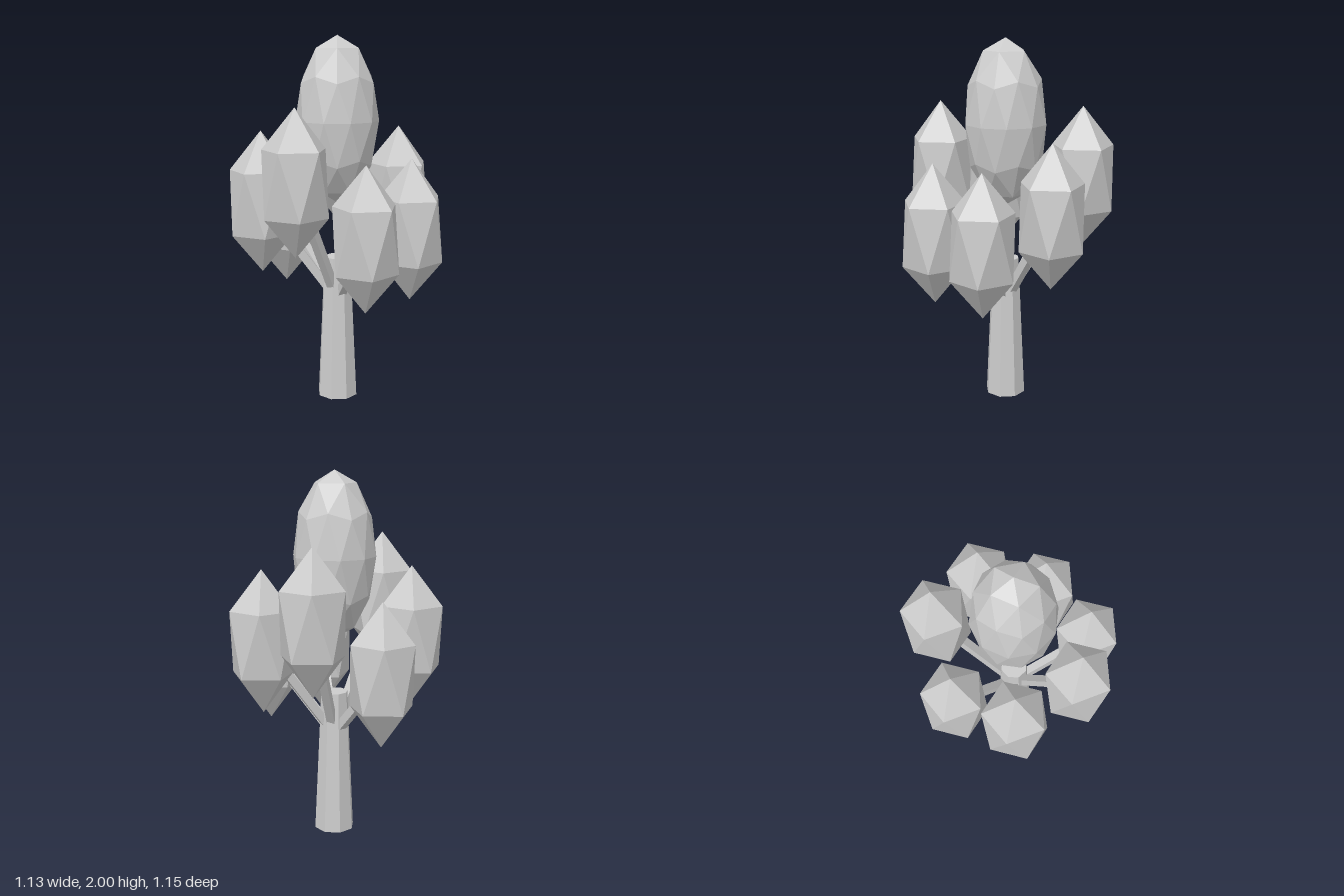
import * as THREE from 'three';

export function createModel() {
  const tree = new THREE.Group();
  tree.name = 'tree';
  const grey = new THREE.MeshStandardMaterial({ color: 0xcccccc, flatShading: true });
  grey.name = 'plain grey';
  const axisX = -0.022;

  const add = (name, geometry, x, y, z) => {
    const mesh = new THREE.Mesh(geometry, grey);
    mesh.name = name;
    mesh.position.set(x, y, z);
    tree.add(mesh);
    return mesh;
  };

  // Icosphere standing on a corner, stretched to twice its width
  const crown = (radius, detail, turn) => {
    const g = new THREE.IcosahedronGeometry(radius, detail);
    g.rotateX(-Math.atan((1 + Math.sqrt(5)) / 2));
    g.rotateY(Math.PI / 2 - turn);
    g.scale(1, 2, 1);
    return g;
  };

  // Tapered trunk
  add('trunk', new THREE.CylinderGeometry(0.075, 0.1125, 0.8, 8), axisX, 0.4, 0);

  // Main crown
  add('topCrown', crown(0.225, 1, 0), axisX, 1.55, 0);

  // Ring of seven side crowns, each carried by a branch
  const leaf = crown(0.193, 0, THREE.MathUtils.degToRad(26));
  const heights = [0.975, 0.975, 1.26, 1.115, 0.975, 1.26, 1.115];
  const up = new THREE.Vector3(0, 1, 0);
  heights.forEach((y, i) => {
    const a = (i / 7) * Math.PI * 2;
    const end = new THREE.Vector3(axisX + 0.413 * Math.cos(a), y, 0.413 * Math.sin(a));
    add('sideCrown' + (i + 1), leaf, end.x, end.y, end.z);

    const start = new THREE.Vector3(axisX, 0.55, 0);
    const dir = end.clone().sub(start);
    const mid = start.clone().add(end).multiplyScalar(0.5);
    const box = new THREE.BoxGeometry(0.045, dir.length(), 0.045);
    const branch = add('branch' + (i + 1), box, mid.x, mid.y, mid.z);
    // Lean outwards, then swing round the trunk
    const lean = Math.atan2(0.413, y - 0.55);
    const swing = new THREE.Quaternion().setFromAxisAngle(up, -a);
    const tilt = new THREE.Quaternion().setFromAxisAngle(new THREE.Vector3(0, 0, 1), -lean);
    branch.quaternion.copy(swing.multiply(tilt));
  });

  return tree;
}
